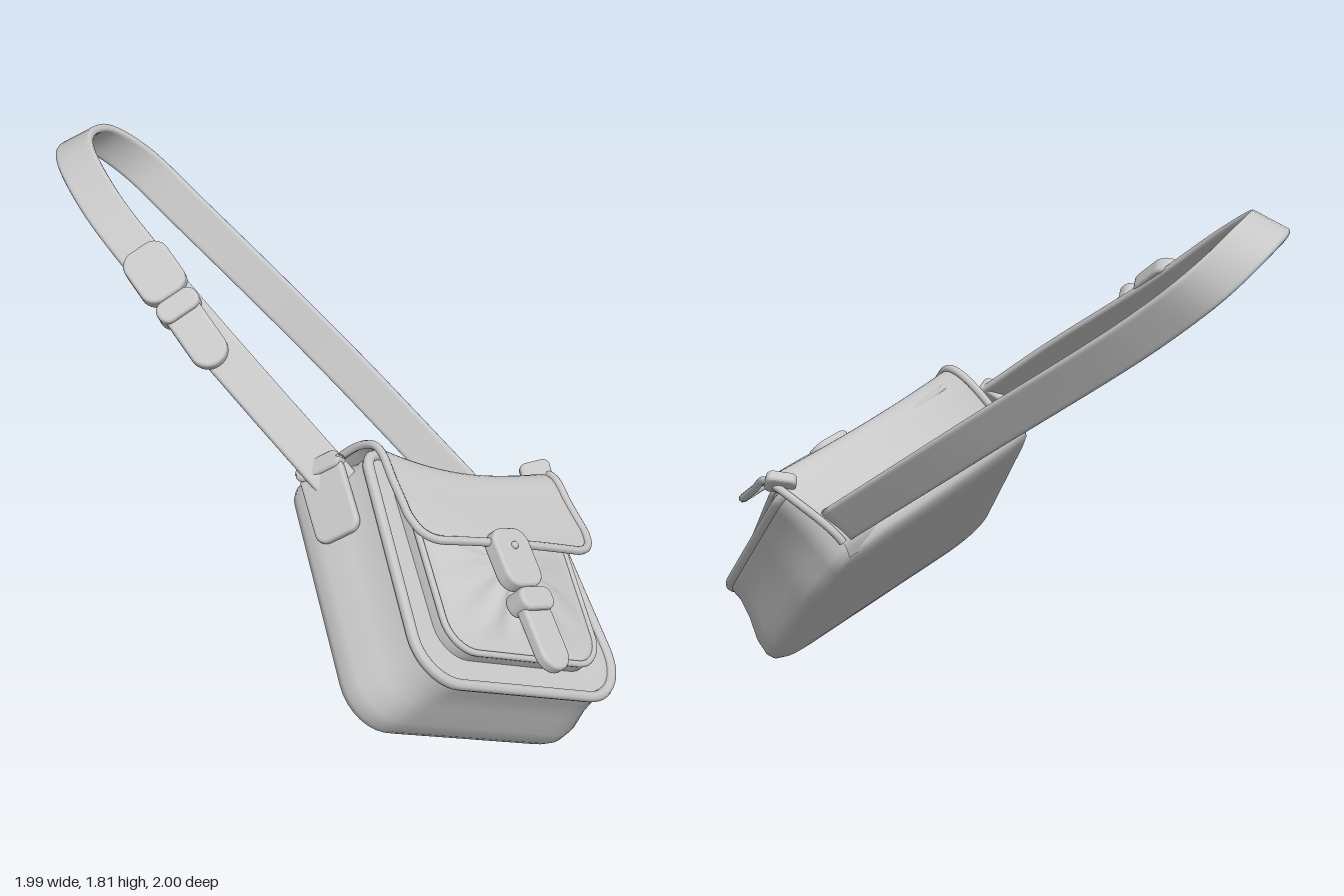
import * as THREE from 'three';

const V = (x, y, z) => new THREE.Vector3(x, y, z);
const { lerp, smoothstep } = THREE.MathUtils;
const leather = new THREE.MeshStandardMaterial({ color: 0xc8c8c8, side: THREE.DoubleSide });
leather.name = 'light grey leather';

function add(parent, name, geometry, pos) {
  const mesh = new THREE.Mesh(geometry, leather);
  mesh.name = name;
  if (pos) mesh.position.set(...pos);
  parent.add(mesh);
  return mesh;
}

// Counter-clockwise polygon with rounded corners; each corner is [x, y, radius]
function roundedShape(corners) {
  const shape = new THREE.Shape(), n = corners.length;
  corners.forEach(([x, y, r], i) => {
    const toward = ([px, py]) => {
      const d = Math.hypot(px - x, py - y);
      return [x + (px - x) * r / d, y + (py - y) * r / d];
    };
    const a = toward(corners[(i + n - 1) % n]), b = toward(corners[(i + 1) % n]);
    if (i) shape.lineTo(...a); else shape.moveTo(...a);
    // cubic handles give a near circular corner
    const k = 0.55, mix = (p) => [p[0] + (x - p[0]) * k, p[1] + (y - p[1]) * k];
    shape.bezierCurveTo(...mix(a), ...mix(b), ...b);
  });
  shape.closePath();
  return shape;
}

// Skin over closed loops of points
function loft(loops) {
  const n = loops[0].length, pos = [], index = [];
  loops.forEach((loop) => loop.forEach((p) => pos.push(p.x, p.y, p.z)));
  for (let i = 0; i < loops.length - 1; i++) for (let j = 0; j < n; j++) {
    const a = i * n + j, b = i * n + (j + 1) % n;
    index.push(a, b, b + n, a, b + n, a + n);
  }
  const g = new THREE.BufferGeometry();
  g.setAttribute('position', new THREE.Float32BufferAttribute(pos, 3));
  g.setIndex(index);
  g.computeVertexNormals();
  return g;
}

const outlinePoints = (corners, n) => roundedShape(corners).getSpacedPoints(n).slice(0, n);
const tube = (pts, r, closed = false) =>
  new THREE.TubeGeometry(new THREE.CatmullRomCurve3(pts, closed), pts.length * 2, r, 8, closed);

// Soft-edged plate, centred
function plate(w, h, d, rTop, rBottom = rTop) {
  const b = 0.012, x = w / 2 - b, y = h / 2 - b;
  const shape = roundedShape([[-x, -y, rBottom], [x, -y, rBottom], [x, y, rTop], [-x, y, rTop]]);
  return new THREE.ExtrudeGeometry(shape, {
    depth: d - 2 * b, bevelSize: b, bevelThickness: b, bevelSegments: 3, curveSegments: 8,
  }).translate(0, 0, b - d / 2);
}

function buckle(name) {
  const g = new THREE.Group();
  g.name = name;
  add(g, 'bucklePlate', plate(0.175, 0.22, 0.06, 0.045));
  add(g, 'buckleLoop', plate(0.16, 0.085, 0.085, 0.025), [0, -0.16, 0]);
  add(g, 'buckleTongue', plate(0.135, 0.28, 0.045, 0.02, 0.055), [0, -0.28, 0]);
  return g;
}

function buildBody(bag) {
  // The back spreads wider than the front at the bottom and left; the front of the top sags
  const warp = (x, y, z) => {
    const back = smoothstep(0.93 - z, 0, 0.24);
    const low = smoothstep(-y, -0.1, 0.45), high = smoothstep(y, -0.05, 0.3);
    const left = smoothstep(-x, 0.05, 0.5), side = smoothstep(x, 0, 0.3);
    const sag = 0.07 * (1 - 0.7 * back) * Math.sin(Math.PI * THREE.MathUtils.clamp((x + 0.55) / 0.85, 0, 1));
    return V(x + back * (-0.08 * left + side * (0.035 * low - 0.04 * high)),
      y - back * 0.04 * low + high * (back * (0.02 * left - 0.05 * side) - sag), z);
  };
  const outline = outlinePoints(
    [[-0.58, -0.555, 0.17], [0.41, -0.565, 0.2], [0.28, 0.3, 0.1], [-0.54, 0.34, 0.08]], 96);
  const cx = -0.09, cy = -0.09;
  const ring = (z, s) => outline.map((p) => warp(cx + (p.x - cx) * s, cy + (p.y - cy) * s, z));
  add(bag, 'body', loft([[0.603, 0], [0.603, 0.5], [0.606, 0.8], [0.614, 0.92], [0.632, 0.975], [0.66, 0.995],
    [0.72, 0.99], [0.8, 0.975], [0.88, 0.985], [0.93, 1], [0.945, 0.98], [0.94, 0.9], [0.94, 0]]
    .map((s) => ring(...s))));
  add(bag, 'bodyPiping', tube(ring(0.94, 0.985), 0.02, true));
}

function buildPocket(bag) {
  const outline = outlinePoints(
    [[-0.455, -0.455, 0.12], [0.275, -0.465, 0.12], [0.27, 0.22, 0.06], [-0.45, 0.22, 0.06]], 96);
  const cx = -0.09, cy = -0.12;
  // Soft creases fan out from the fastening
  const ring = (z, s, crease = 0) => outline.map((p) => V(cx + (p.x - cx) * s, cy + (p.y - cy) * s,
    z + crease * Math.sin(11 * Math.atan2(p.y - cy, p.x - cx))));
  add(bag, 'pocket', loft([[0.93, 1], [0.97, 1], [0.992, 0.985], [0.99, 0.93], [0.995, 0.85], [1.005, 0.7, 0.003],
    [1.018, 0.5, 0.008], [1.03, 0.3, 0.006], [1.035, 0.1], [1.035, 0]].map((s) => ring(...s))));
  add(bag, 'pocketPiping', tube(ring(0.987, 0.985), 0.012, true));
}

function buildFlap(bag) {
  // Side profile runs from the back, over the top and down the front
  const profile = new THREE.CatmullRomCurve3([[0.3, 0.622], [0.35, 0.665], [0.38, 0.8], [0.37, 0.93],
    [0.325, 0.995], [0.18, 1.015], [-0.05, 1.04]].map(([y, z]) => V(0, y, z)));
  const point = (u, v) => {
    const e = Math.min(u, 1 - u), r = 0.13;
    const cut = e < r ? 0.13 * (1 - Math.sqrt(1 - (1 - e / r) ** 2)) : 0;
    const t = v * (1 - cut), p = profile.getPointAt(t), arch = Math.sin(Math.PI * u);
    p.x = lerp(-0.54 + 0.03 * t, 0.215 + 0.09 * smoothstep(t, 0, 0.5), u);
    p.y -= 0.02 * (1 - u) + u * (0.02 + 0.045 * (1 - t))
      + 0.075 * Math.sin(Math.PI * u ** 0.85) * (1 - t * t) * lerp(0.2, 1, smoothstep(t, 0.05, 0.4));
    p.z += 0.055 * u * t * t + 0.02 * arch * t ** 4;
    return p;
  };
  const g = new THREE.PlaneGeometry(1, 1, 44, 44), pos = g.attributes.position;
  for (let i = 0; i < pos.count; i++) {
    const p = point(pos.getX(i) + 0.5, 0.5 - pos.getY(i));
    pos.setXYZ(i, p.x, p.y, p.z);
  }
  g.computeVertexNormals();
  add(bag, 'flap', g);

  const edge = [];
  for (let i = 2; i < 20; i++) edge.push(point(0, i / 20));
  for (let i = 0; i <= 40; i++) edge.push(point(i / 40, 1));
  for (let i = 19; i >= 2; i--) edge.push(point(1, i / 20));
  add(bag, 'flapPiping', tube(edge, 0.015));
}

function buildAnchors(bag) {
  // Sewn tab and keeper that hold the left end of the strap
  const anchor = new THREE.Group();
  anchor.name = 'strapAnchor';
  anchor.position.set(-0.605, 0.2, 0.79);
  anchor.rotation.y = -Math.PI / 2 + 0.33;
  add(anchor, 'endTab', plate(0.17, 0.28, 0.035, 0.03));
  add(anchor, 'tabKeeper', plate(0.18, 0.06, 0.06, 0.02), [0, 0.13, 0]);
  bag.add(anchor);
  // Free tab end sticking out on the right
  const peg = add(bag, 'sideTabEnd', plate(0.11, 0.08, 0.045, 0.012), [0.28, 0.32, 0.965]);
  peg.rotation.set(0.3, -0.7, 0.2);
}

function buildStrap(model) {
  const path = new THREE.CatmullRomCurve3([[0.03, 0.95, 0.39], [-0.25, 1.18, 0.15], [-0.6, 1.455, -0.2],
    [-0.83, 1.655, -0.46], [-0.93, 1.75, -0.72], [-0.87, 1.715, -0.91], [-0.73, 1.59, -0.985], [-0.53, 1.42, -0.9],
    [0, 1.02, -0.53], [0.53, 0.61, -0.1]].map((p) => V(...p)));
  // The strap twists gently along its length
  const widths = [V(0.8, 0.5, -0.34), V(0.8, 0.48, -0.34), V(0.88, 0.45, 0), V(0.66, 0.72, -0.1), V(0.64, 0.72, -0.16)];
  const section = outlinePoints([[-0.073, -0.015, 0.01], [0.073, -0.015, 0.01], [0.073, 0.015, 0.01],
    [-0.073, 0.015, 0.01]], 48);
  const loops = [], N = 90;
  for (let i = 0; i <= N; i++) {
    const t = i / N, k = Math.min(3, Math.floor(t * 4));
    const p = path.getPointAt(t), tan = path.getTangentAt(t);
    const w = widths[k].clone().lerp(widths[k + 1], t * 4 - k);
    w.addScaledVector(tan, -w.dot(tan)).normalize();
    const n = tan.clone().cross(w);
    const ring = section.map((q) => p.clone().addScaledVector(w, q.x).addScaledVector(n, q.y));
    if (i === 0) loops.push(ring.map(() => p));
    loops.push(ring);
    if (i === N) loops.push(ring.map(() => p));
  }
  add(model, 'shoulderStrap', loft(loops));

  const up = V(-0.24, 0.23, -0.29).normalize(), w = widths[0].clone();
  w.addScaledVector(up, -w.dot(up)).normalize();
  const b = buckle('strapBuckle');
  b.quaternion.setFromRotationMatrix(new THREE.Matrix4().makeBasis(w, up, w.clone().cross(up)));
  b.position.set(-0.615, 1.48, -0.19);
  model.add(b);
}

export function createModel() {
  const model = new THREE.Group();
  model.name = 'shoulderBag';

  // The bag lies tilted: its own right, up and front directions
  const right = V(0.74, -0.4, -0.55).normalize(), up = V(-0.27, 0.59, -0.76);
  up.addScaledVector(right, -up.dot(right)).normalize();
  const bag = new THREE.Group();
  bag.name = 'bag';
  bag.quaternion.setFromRotationMatrix(new THREE.Matrix4().makeBasis(right, up, right.clone().cross(up)));
  model.add(bag);

  buildBody(bag);
  buildPocket(bag);
  buildFlap(bag);
  buildAnchors(bag);
  const front = buckle('frontBuckle');
  front.position.set(-0.125, -0.13, 1.08);
  front.rotation.z = 0.12;
  add(front, 'buckleStud', new THREE.SphereGeometry(0.014, 16, 10), [0, 0.04, 0.03]);
  bag.add(front);
  buildStrap(model);
  return model;
}
